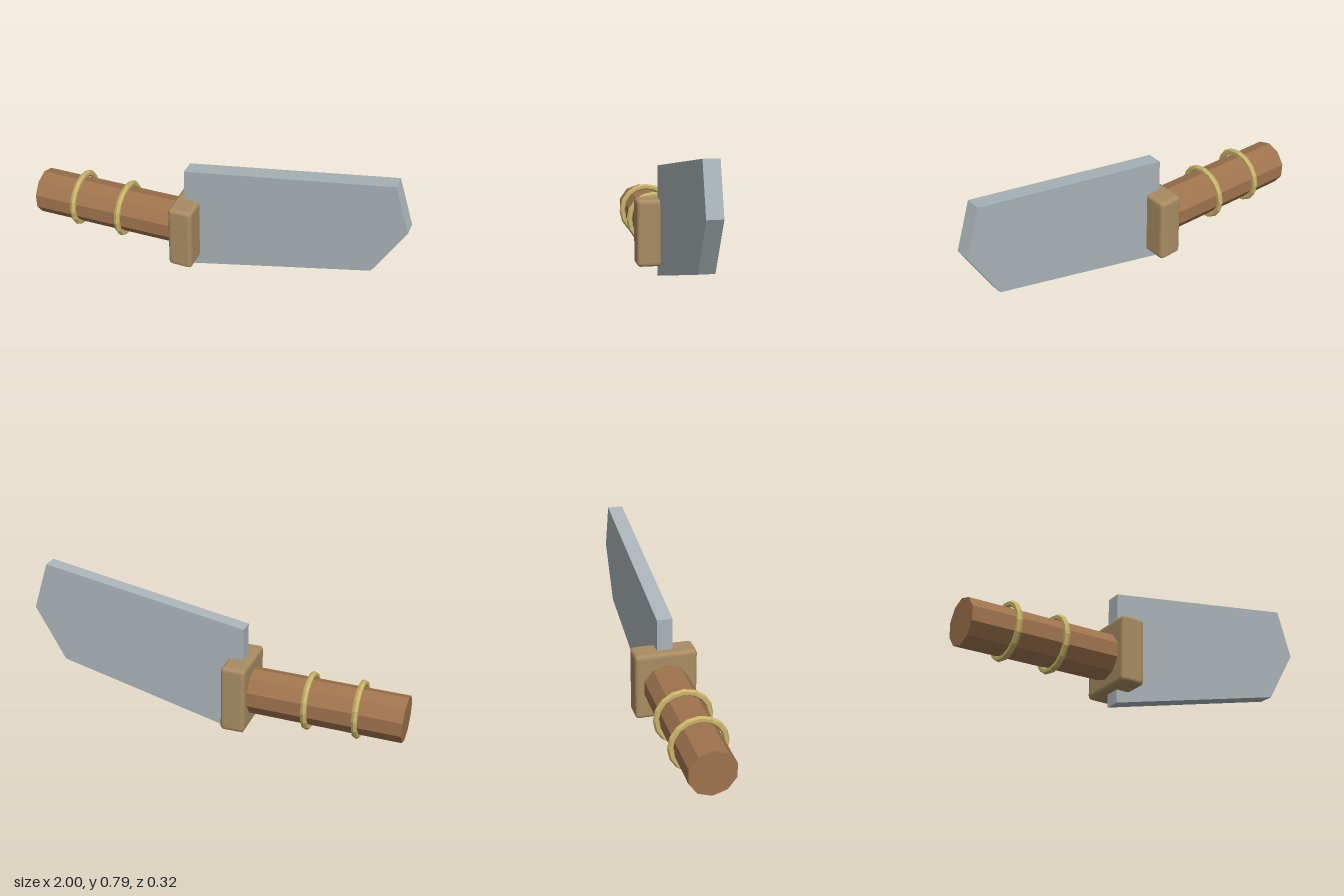
import * as THREE from 'three';
import { RoundedBoxGeometry } from 'three/addons/geometries/RoundedBoxGeometry.js';

const material = (color) => new THREE.MeshStandardMaterial({ color, flatShading: true });

export function createModel() {
  const model = new THREE.Group();
  model.name = 'cleaver';

  const add = (name, geometry, mat, x = 0, y = 0, z = 0) => {
    const mesh = new THREE.Mesh(geometry, mat);
    mesh.name = name;
    mesh.position.set(x, y, z);
    model.add(mesh);
    return mesh;
  };

  // Blade: flat slab widening into an angled tip
  const thickness = 0.08;
  const outline = new THREE.Shape([
    [-0.16, 0], [0.84, 0.26], [1, 0.54], [0.92, 0.793], [-0.16, 0.593],
  ].map(([x, y]) => new THREE.Vector2(x, y)));
  const blade = new THREE.ExtrudeGeometry(outline, { depth: thickness, bevelEnabled: false });
  add('blade', blade, material(0xaab4b8), 0, 0, -thickness / 2);

  // Guard: softened block around the root of the blade
  add('guard', new RoundedBoxGeometry(0.128, 0.355, 0.32, 2, 0.02), material(0xa88c62), -0.141, 0.247, 0);

  // Handle: ten-sided grip with an edge on top, tilted slightly upward
  const grip = new THREE.CylinderGeometry(0.12, 0.12, 0.84, 10);
  grip.rotateY(Math.PI / 2).rotateZ(-Math.PI / 2);
  add('handle', grip, material(0xa0744e), -0.578, 0.235, 0).rotation.z = 0.025;

  // Binding rings around the grip
  const ringMaterial = material(0xc8b46a);
  const ring = new THREE.TorusGeometry(0.135, 0.016, 6, 16).rotateY(Math.PI / 2);
  for (const [name, x] of [['rearRing', -0.765], ['frontRing', -0.507]]) {
    add(name, ring, ringMaterial, x, 0.238, 0);
  }

  return model;
}
